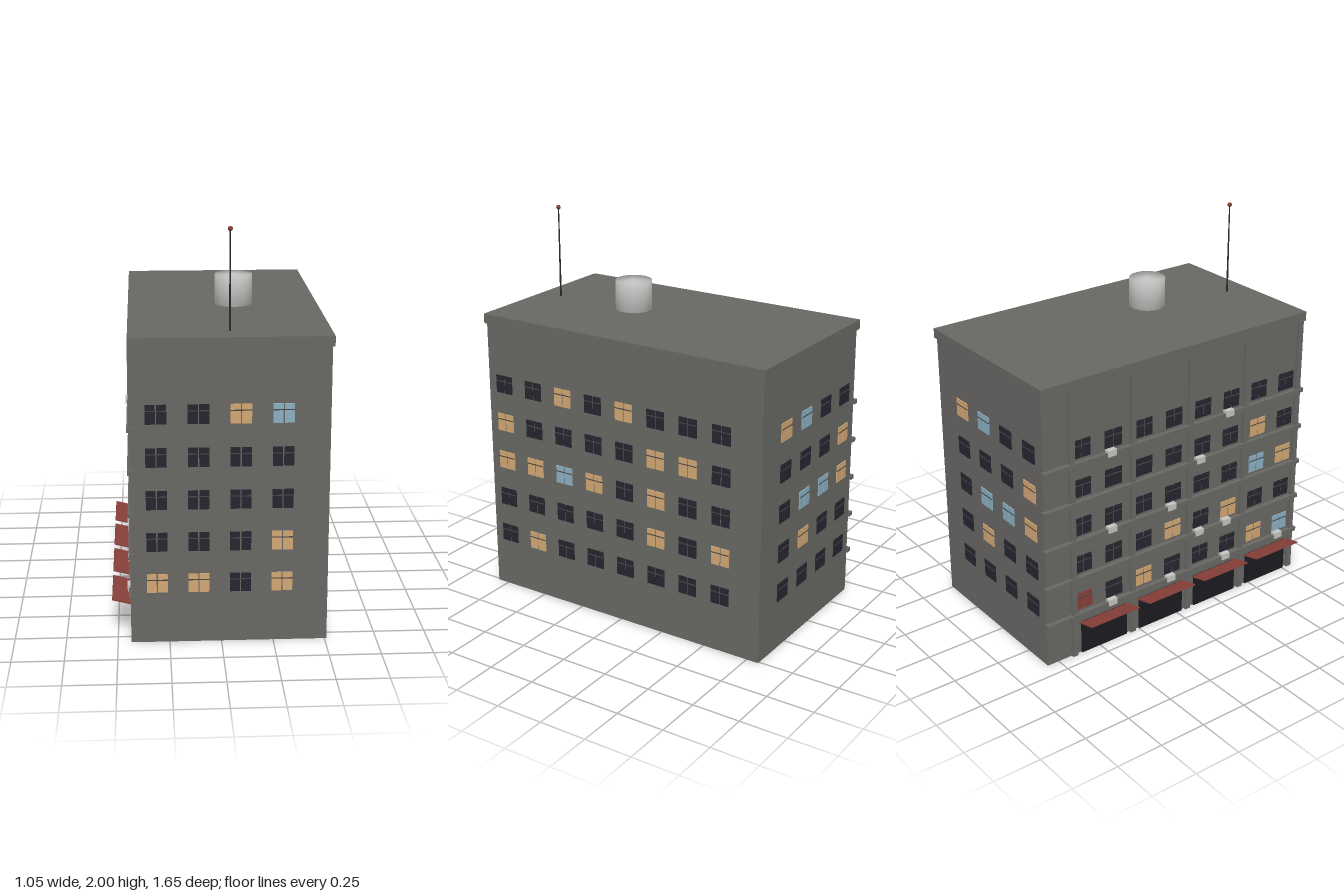
import * as THREE from 'three';
import { mergeVertices } from 'three/addons/utils/BufferGeometryUtils.js';

const paint = (name, color) => {
  const m = new THREE.MeshStandardMaterial({ color });
  m.name = name;
  return m;
};

export function createModel() {
  const root = new THREE.Group();
  root.name = 'apartmentBlock';

  const wall = paint('wallGrey', 0x686764);
  const glass = {
    D: paint('darkGlass', 0x252530),
    L: paint('litGlass', 0xd2a673),
    B: paint('blueGlass', 0x8aafc2),
    R: paint('awningRed', 0x883f39),
  };
  const frame = paint('frameGrey', 0x484644);
  const shopDark = paint('shopGlass', 0x1a1a20);
  const metal = paint('paleMetal', 0xc4c4c2);
  const mastDark = paint('mastDark', 0x2c2a2a);

  const add = (parent, name, geometry, material, x, y, z) => {
    const mesh = new THREE.Mesh(geometry, material);
    mesh.name = name;
    mesh.position.set(x, y, z);
    parent.add(mesh);
    return mesh;
  };
  const box = (parent, name, material, w, h, d, x, y, z) =>
    add(parent, name, new THREE.BoxGeometry(w, h, d), material, x, y, z);

  // Main block and roof slab
  box(root, 'body', wall, 0.93, 1.46, 1.63, 0.045, 0.73, 0);
  box(root, 'roofSlab', wall, 0.955, 0.05, 1.65, 0.0425, 1.485, 0);

  // Windows: each facade is a group turned to face outwards; rows run top to bottom
  const rowY = [1.145, 0.935, 0.725, 0.515, 0.305];
  const paneGeo = new THREE.BoxGeometry(0.047, 0.094, 0.01);
  const barGeo = new THREE.BoxGeometry(0.1, 0.005, 0.013);
  const facades = [
    { name: 'frontWindows', turn: 0, wallAt: 0.815, first: -0.308, step: 0.199,
      rows: ['DDLB', 'DDDD', 'DDDD', 'DDDL', 'LLDL'] },
    { name: 'plainSideWindows', turn: Math.PI / 2, wallAt: 0.51, first: -0.716, step: 0.187,
      rows: ['DDLDLDDD', 'LDDDDLLD', 'LLBLDLDD', 'DDDDDLDL', 'DLDDDDDD'] },
    { name: 'backWindows', turn: Math.PI, wallAt: 0.815, first: -0.289, step: 0.199,
      rows: ['LBDD', 'DDDL', 'DBBL', 'DLDD', 'DDDD'] },
    { name: 'shopSideWindows', turn: -Math.PI / 2, wallAt: 0.42, first: -0.593, step: 0.187,
      rows: ['DDDDDDDD', 'DDDDDDLD', 'DDDDDDBL', 'DDDLDLDD', 'RDLDDDLB'] },
  ];
  for (const f of facades) {
    const group = new THREE.Group();
    group.name = f.name;
    group.rotation.y = f.turn;
    root.add(group);
    f.rows.forEach((row, r) => [...row].forEach((kind, c) => {
      const u = f.first + c * f.step;
      for (const side of [-1, 1])
        add(group, 'windowPane', paneGeo, glass[kind], u + side * 0.0265, rowY[r], f.wallAt);
      add(group, 'windowBar', barGeo, frame, u, rowY[r] + 0.017, f.wallAt);
    }));
  }

  // Shop side: pilasters and floor bands
  const pitch = 0.3625;
  for (let i = 0; i < 5; i++)
    box(root, 'pilaster', wall, 0.018, 1.46, 0.03, -0.427, 0.73, -0.655 + i * pitch);
  const bandY = rowY.map((y) => y - 0.073);
  for (const y of bandY) box(root, 'floorBand', wall, 0.028, 0.022, 1.65, -0.43, y, 0);

  // Shopfronts with awnings tilted up at the outer edge
  for (let i = 0; i < 4; i++) {
    const z = -0.47 + i * pitch;
    box(root, 'shopfront', shopDark, 0.016, 0.18, 0.28, -0.422, 0.09, z);
    const awning = box(root, 'awning', glass.R, 0.107, 0.006, 0.3, -0.474, 0.19, z);
    awning.rotation.z = -0.25;
  }

  // Air conditioners on the bands: positions along z for each floor
  const units = [[-0.43, 0.315], [0.13], [-0.43, -0.055], [0.13, 0.315], [-0.43, -0.055, 0.315, 0.69]];
  units.forEach((list, r) => list.forEach((z) =>
    box(root, 'airConditioner', metal, 0.034, 0.034, 0.05, -0.434, bandY[r] + 0.008, z)));

  // Water tank with normals blended across its rim
  let tankGeo = new THREE.CylinderGeometry(0.093, 0.093, 0.15, 24);
  tankGeo.deleteAttribute('normal');
  tankGeo.deleteAttribute('uv');
  tankGeo = mergeVertices(tankGeo);
  tankGeo.computeVertexNormals();
  add(root, 'waterTank', tankGeo, metal, 0.09, 1.61, 0.193);

  // Antenna mast with its beacon
  add(root, 'antennaMast', new THREE.CylinderGeometry(0.003, 0.005, 0.48, 8), mastDark, 0.043, 1.75, 0.697);
  add(root, 'antennaBeacon', new THREE.SphereGeometry(0.012, 12, 8), glass.R, 0.043, 1.988, 0.697);

  return root;
}
